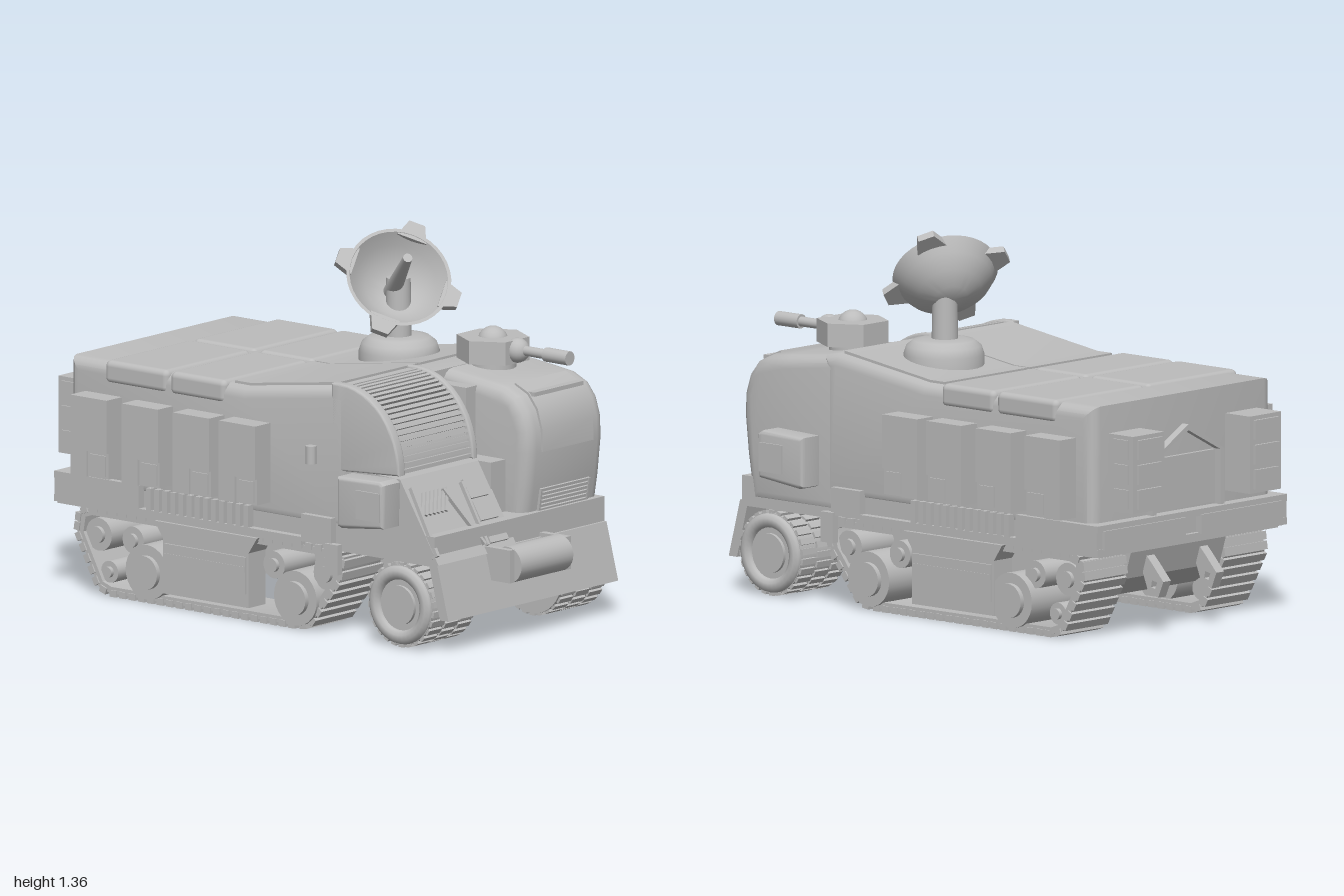
import * as THREE from 'three';
import { toCreasedNormals } from 'three/addons/utils/BufferGeometryUtils.js';
import { RoundedBoxGeometry } from 'three/addons/geometries/RoundedBoxGeometry.js';

const hullGrey = new THREE.MeshStandardMaterial({ color: 0xbcbcbc, side: THREE.DoubleSide });
hullGrey.name = 'hullGrey';

export function createModel() {
  const root = new THREE.Group();
  root.name = 'armouredCrawler';
  const add = (name, geo, parent = root) => {
    const m = new THREE.Mesh(geo, hullGrey);
    m.name = name;
    parent.add(m);
    return m;
  };
  // box given by its x, y and z ranges
  const box = (name, x0, x1, y0, y1, z0, z1, parent) => {
    const m = add(name, new THREE.BoxGeometry(x1 - x0, y1 - y0, z1 - z0), parent);
    m.position.set((x0 + x1) / 2, (y0 + y1) / 2, (z0 + z1) / 2);
    return m;
  };
  // same, for either side
  const sideBox = (name, s, x0, x1, ...r) => s > 0 ? box(name, x0, x1, ...r) : box(name, -x1, -x0, ...r);
  // side profile of [z, y] points, extruded from x0 to x1 with rounded edges
  const slab = (name, pts, x0, x1, b = 0, hole) => {
    const shape = new THREE.Shape(pts.map(p => new THREE.Vector2(...p)));
    if (hole) shape.holes.push(new THREE.Path(hole.map(p => new THREE.Vector2(...p))));
    const geo = new THREE.ExtrudeGeometry(shape, {
      depth: x1 - x0 - 2 * b, bevelEnabled: b > 0, bevelSize: b, bevelThickness: b, bevelOffset: -b, bevelSegments: 4
    });
    geo.translate(0, 0, b).rotateY(-Math.PI / 2).translate(x1, 0, 0);
    return add(name, toCreasedNormals(geo, 0.55), root);
  };
  const sideSlab = (name, s, pts, x0, x1, b, hole) =>
    s > 0 ? slab(name, pts, x0, x1, b, hole) : slab(name, pts, -x1, -x0, b, hole);
  // cylinder along x
  const axle = (name, r, x0, x1, y, z, n = 28) => {
    const m = add(name, new THREE.CylinderGeometry(r, r, Math.abs(x1 - x0), n));
    m.rotation.z = Math.PI / 2;
    m.position.set((x0 + x1) / 2, y, z);
    return m;
  };

  // main hull and floor
  slab('rearBody', [[.45, .38], [.45, .9], [.38, .912], [-.05, .852], [-.87, .852], [-.87, .38]], -.475, .475, .045);
  slab('floorHull', [[.84, .12], [.84, .33], [-.86, .33], [-.82, .2], [-.7, .12]], -.25, .25);
  box('frontUnderbody', -.47, .47, .31, .42, .36, .84);
  box('rearSkirt', -.47, .47, .31, .43, -.9, .38);
  slab('frontBumper', [[.905, .12], [.85, .33], [.81, .33], [.865, .12]], -.47, .47);

  // roof panels split by seams
  for (const s of [-1, 1]) for (const [z0, z1] of [[-.395, -.135], [-.7, -.405]]) {
    const m = add('roofPanel', new RoundedBoxGeometry(.475, .085, z1 - z0, 3, .022));
    m.position.set(s * .243, .818, (z0 + z1) / 2);
  }
  for (const s of [-1, 1])
    slab('slopedRoofPanel', [[.37, .88], [.37, .919], [-.05, .859], [-.12, .859], [-.12, .82]],
      s > 0 ? .005 : -.44, s > 0 ? .44 : -.005);

  // gunner's cab on the left half
  slab('cab', [[.36, .32], [.80, .32], [.83, .5], [.845, .64], [.842, .72], [.82, .79], [.78, .84], [.72, .868],
    [.62, .88], [.36, .908]], .04, .475, .05);
  slab('cabWindow', [[.74, .64], [.853, .64], [.85, .722], [.828, .795], [.786, .847], [.722, .875], [.70, .82]], .115, .395);
  box('windowVisor', .12, .39, .835, .85, .77, .81);
  for (let i = 0; i < 11; i++) {
    const y = .345 + i * .0148;
    const m = box('radiatorSlat', .13, .385, y, y + .009, .795 + .15 * (y - .32), .812 + .15 * (y - .32));
    m.rotation.x = .15;
  }
  for (const x of [.122, .385]) box('radiatorFrame', x, x + .008, .34, .505, .79, .828).rotation.x = .15;

  // engine housing on the right half: louvred drum above a sloping nose
  const arc = (t, k = 0) => [.40 + (.27 + k) * Math.cos(t), .62 + (.295 + k) * Math.sin(t)];
  const arcPts = k => Array.from({ length: 13 }, (_, i) => arc(i * Math.PI / 24, k));
  slab('drum', [[.36, .6], ...arcPts(-.012), [.36, .9]], -.44, -.06);
  for (const [x0, x1] of [[-.475, -.435], [-.065, -.035]])
    slab('drumCheek', [[.36, .6], ...arcPts(.006), [.36, .92]], x0, x1, .008);
  for (let i = 0; i < 20; i++) {
    const t = (i + .5) * Math.PI / 40, [z, y] = arc(t, -.01);
    const m = add('drumLouvre', new THREE.BoxGeometry(.37, .013, .02));
    m.position.set(-.25, y, z);
    m.rotation.x = -Math.atan2(Math.sin(t) / .295, Math.cos(t) / .27);
  }
  slab('nose', [[.36, .32], [.86, .32], [.68, .61], [.36, .62]], -.472, -.035);
  const nosePart = (name, x, y, w, h, d, roll = 0) => {
    const g = new THREE.Group();
    g.name = name;
    g.position.set(x, y, .86 - .18 * (y - .32) / .29);
    g.rotation.x = -.555;
    root.add(g);
    add(name, new THREE.BoxGeometry(w, h, d), g).rotation.z = roll;
  };
  for (let i = 0; i < 7; i++) nosePart('noseVentBar', -.42 + i * .022, .515, .012, .1, .016, -.6);
  nosePart('noseRidge', -.245, .45, .012, .25, .03, .35);
  nosePart('noseRidge', -.185, .45, .012, .25, .03, -.03);
  nosePart('noseRidge', -.455, .46, .014, .27, .03, -.08);
  for (let i = 0; i < 3; i++) nosePart('noseStep', -.122, .38 + i * .075, .1, .075, .024);
  box('centreSpine', -.04, .045, .32, .61, .36, .74);
  box('centreColumn', -.012, .05, .5, .86, .36, .60);

  // winch roller on the bumper
  axle('winchRoller', .066, -.175, .112, .285, .932);
  for (const x of [-.2, .112]) box('winchBracket', x, x + .026, .225, .345, .82, .965);

  // parts on both flanks
  for (const s of [-1, 1]) {
    // cab side locker
    sideSlab('sideLocker', s, [[.675, .44], [.68, .60], [.66, .612], [.46, .605], [.46, .425], [.48, .418]], .46, .565, .015);
    sideBox('lockerPanel', s, .56, .572, .465, .57, .555, .665);
    // upright stowage boxes with a pocket on each
    for (const z of [-.705, -.465, -.225, -.01]) {
      sideBox('stowageBox', s, .46, .55, .445, .735, z - .085, z + .085);
      sideBox('stowageLid', s, .55, .56, .54, .735, z - .085, z + .085);
      sideBox('stowageLid', s, .55, .56, .445, .54, z - .085, z - .01);
      sideBox('stowagePocket', s, .55, .556, .455, .53, z, z + .075);
    }
    // skirt rail with ribs
    sideBox('skirtBlock', s, .46, .5, .33, .43, .24, .38);
    sideBox('skirtRail', s, .46, .5, .315, .345, -.9, .24);
    sideBox('rearSkirtBlock', s, .46, .5, .32, .43, -.915, -.52);
    for (let i = 0; i < 13; i++)
      sideBox('skirtRib', s, .46, .5, .34, .425, -.03 - i * .038, -.008 - i * .038);
    sideSlab('trackGuard', s, [[.03, .31], [-.01, .25], [-.01, .05], [-.41, .05], [-.41, .25], [-.45, .31]], .4, .495);
    sideSlab('guardPanel', s, [[-.02, .235], [-.02, .1], [-.4, .1], [-.4, .235]], .49, .503);
    sideBox('guardRib', s, .49, .505, .18, .2, -.4, -.02);
    sideBox('frontGuard', s, .485, .512, .23, .34, .36, .42);

    // steered front wheel with staggered tread
    axle('frontTyre', .146, s * .24, s * .48, .155, .69, 40);
    const rim = add('tyreShoulder', new THREE.TorusGeometry(.118, .028, 10, 36));
    rim.rotation.y = Math.PI / 2;
    rim.position.set(s * .472, .155, .69);
    axle('frontHub', .072, s * .4, s * .492, .155, .69);
    for (let i = 0; i < 26; i++) for (let j = 0; j < 3; j++) {
      const a = (i + (j % 2) / 2) * Math.PI / 13;
      const m = add('tyreTread', new THREE.BoxGeometry(.072, .016, .022));
      m.position.set(s * (.283 + j * .08), .155 + .147 * Math.cos(a), .69 + .147 * Math.sin(a));
      m.rotation.x = a;
    }

    // track loop with its pads
    const loop = [[.42, .29], [.40, .2], [.26, .02], [.2, .012], [-.68, .012], [-.73, .03], [-.83, .22], [-.82, .29], [-.77, .31], [.37, .31]];
    const inner = [[.385, .275], [.37, .21], [.245, .05], [.2, .035], [-.67, .035], [-.71, .05], [-.8, .22], [-.79, .275], [-.76, .285], [.35, .285]];
    sideSlab('trackBelt', s, loop, .26, .475, 0, inner);
    loop.forEach((p, i) => {
      const q = loop[(i + 1) % loop.length], len = Math.hypot(q[0] - p[0], q[1] - p[1]);
      const n = Math.max(1, Math.round(len / .045));
      for (let k = 0; k < n; k++) {
        const f = (k + .5) / n;
        const m = add('trackPad', new THREE.BoxGeometry(.225, .024, .03));
        m.position.set(s * .368, p[1] + (q[1] - p[1]) * f, p[0] + (q[0] - p[0]) * f);
        m.rotation.x = -Math.atan2(q[1] - p[1], q[0] - p[0]);
      }
    });
    // road wheels and sprockets
    for (const z of [.205, -.49]) {
      axle('roadWheel', .1, s * .28, s * .49, .115, z);
      axle('roadWheelHub', .062, s * .48, s * .508, .115, z);
    }
    for (const [z, y, r] of [[.325, .215, .06], [-.74, .215, .06], [-.69, .085, .04], [.08, .215, .05], [-.58, .215, .05]]) {
      axle('sprocket', r, s * .29, s * .46, y, z, 20);
      axle('sprocketHub', r * .5, s * .45, s * .475, y, z, 16);
    }

    // rear lamp tower with three windows
    sideBox('lampTower', s, .225, .39, .47, .75, -.99, -.85);
    for (let i = 0; i < 3; i++) {
      const y = .485 + i * .09;
      sideBox('lampFace', s, .245, .37, y, y + .07, -1, -.985);
      sideBox('lampSidePanel', s, .385, .397, y, y + .07, -.97, -.9);
    }
    sideBox('rearStep', s, .04, .47, .34, .41, -.925, -.9);
    // tow eye
    sideSlab('towEye', s, [[-.84, .28], [-.87, .25], [-.925, .19], [-.9, .13], [-.85, .15], [-.8, .28]], .12, .16, 0,
      [[-.87, .19], [-.895, .185], [-.885, .16], [-.865, .165]]);
  }
  box('rearRail', -.5, .5, .32, .345, -.918, -.88);
  box('rearRail', -.5, .5, .405, .43, -.918, -.88);
  const marker = add('sideMarkerLamp', new THREE.CylinderGeometry(.02, .02, .065, 14));
  marker.position.set(-.492, .65, .28);

  // rear door with gabled frame
  const gable = k => new THREE.Shape([[-.19 + k, .43], [.19 - k, .43], [.19 - k, .63], [0, .74 - k], [-.19 + k, .63]]
    .map(p => new THREE.Vector2(...p)));
  const frame = gable(0);
  frame.holes.push(gable(.022));
  add('rearDoorFrame', new THREE.ExtrudeGeometry(frame, { depth: .04, bevelEnabled: false })).position.z = -.9;
  box('rearDoor', -.155, .155, .44, .63, -.885, -.86);

  // hexagonal gun turret
  const turret = new THREE.Group();
  turret.name = 'gunTurret';
  turret.position.set(.255, 0, .5);
  root.add(turret);
  const part = (name, geo, x, y, z) => { const m = add(name, geo, turret); m.position.set(x, y, z); return m; };
  part('turretRing', new THREE.CylinderGeometry(.085, .085, .06, 28), 0, .89, 0);
  const hex = new THREE.CylinderGeometry(.132, .132, .085, 6).toNonIndexed();
  hex.computeVertexNormals();
  part('turretBody', hex, 0, .953, 0).rotation.y = Math.PI / 6;
  part('turretDome', new THREE.SphereGeometry(.056, 24, 12), 0, .975, 0);
  part('gunMantlet', new THREE.SphereGeometry(.045, 20, 12), 0, .957, .115);
  part('gunBarrel', new THREE.CylinderGeometry(.018, .018, .26, 18), 0, .96, .23).rotation.x = Math.PI / 2;
  part('gunSleeve', new THREE.CylinderGeometry(.026, .026, .11, 18), 0, .96, .305).rotation.x = Math.PI / 2;

  // dish mast
  const lathe = (name, pts, parent, n = 36) =>
    add(name, toCreasedNormals(new THREE.LatheGeometry(pts.map(p => new THREE.Vector2(...p)), n), .7), parent);
  lathe('dishBase', [[.145, .84], [.145, .905], [.135, .935], [.11, .955], [.08, .96], [0, .96]], root)
    .position.set(.18, 0, .125);
  const mast = add('dishMast', new THREE.CylinderGeometry(.044, .048, .24, 24));
  mast.position.set(.175, 1.05, .125);

  // tilted dish: bowl, rim tabs and feed horn
  const dish = new THREE.Group();
  dish.name = 'dish';
  root.add(dish);
  const n = new THREE.Vector3(-.46, .6, .65).normalize();
  const w = new THREE.Vector3(.67, .72, -.19).cross(n).normalize();
  const u = new THREE.Vector3().crossVectors(n, w);
  dish.quaternion.setFromRotationMatrix(new THREE.Matrix4().makeBasis(u, n, w));
  dish.position.set(.18, 1.11, .09);
  lathe('dishBowl', [[0, -.012], [.06, -.003], [.115, .028], [.16, .072], [.192, .125], [.18, .125],
    [.148, .08], [.105, .038], [.055, .01], [0, 0]], dish);
  const horn = add('feedHorn', new THREE.CylinderGeometry(.017, .032, .28, 20), dish);
  horn.position.y = .145;
  for (let i = 0; i < 4; i++) {
    const pivot = new THREE.Group();
    pivot.name = 'rimTab';
    pivot.rotation.y = i * Math.PI / 2;
    dish.add(pivot);
    const tab = new THREE.Shape([[.165, -.055], [.232, -.03], [.232, .03], [.165, .055]].map(p => new THREE.Vector2(...p)));
    const m = add('rimTab', new THREE.ExtrudeGeometry(tab, { depth: .028, bevelEnabled: false }), pivot);
    m.rotation.x = Math.PI / 2;
    m.position.y = .123;
  }
  return root;
}
